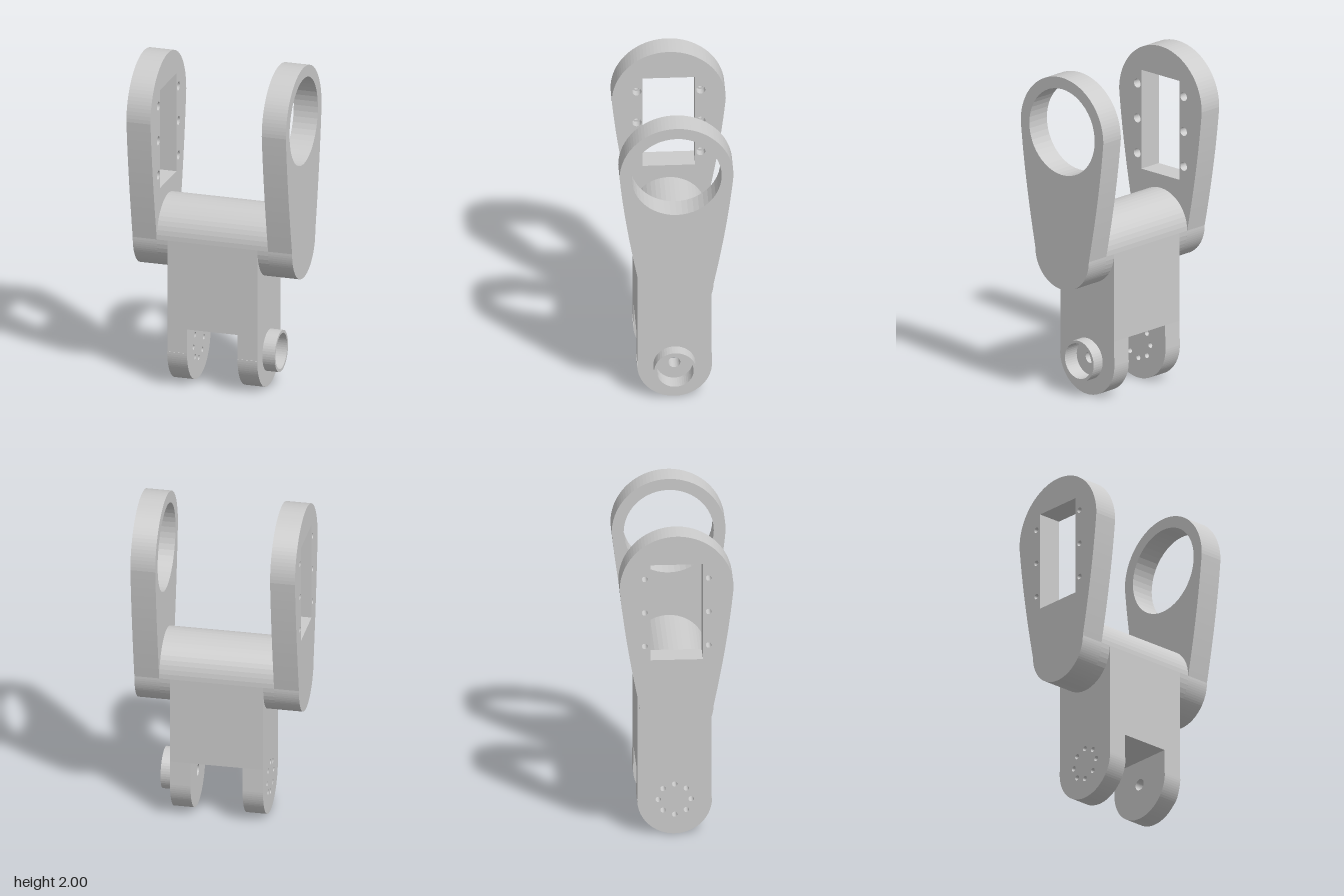
import * as THREE from 'three';

const R = 0.217;        // radius of the bar and of the fork tips
const BAR_Y = 0.91, PIVOT_Y = 0.22, HEAD_Y = 1.665;
const material = new THREE.MeshStandardMaterial({ color: 0xcccccc, flatShading: true });

function addMesh(group, name, geometry) {
  const mesh = new THREE.Mesh(geometry, material);
  mesh.name = name;
  group.add(mesh);
  return mesh;
}

// Extrude a side profile (z, y) across the model from x0 to x1
function slab(shape, x0, x1) {
  const g = new THREE.ExtrudeGeometry(shape, { depth: x1 - x0, bevelEnabled: false, curveSegments: 24 });
  g.rotateY(Math.PI / 2);
  g.translate(x0, 0, 0);
  return g;
}

function circle(x, y, r) {
  return new THREE.Path().absarc(x, y, r, 0, Math.PI * 2, true);
}

// Teardrop outline of the side arms
function armShape(holes) {
  const s = new THREE.Shape();
  s.moveTo(0.335, HEAD_Y);
  s.absarc(0, HEAD_Y, 0.335, 0, Math.PI, false);
  s.quadraticCurveTo(-0.304, 1.33, -R, BAR_Y);
  s.absarc(0, BAR_Y, R, Math.PI, Math.PI * 2, false);
  s.quadraticCurveTo(0.304, 1.33, 0.335, HEAD_Y);
  s.holes.push(...holes);
  return s;
}

// Round-ended outline of the lower fork
function forkShape(holes) {
  const s = new THREE.Shape();
  s.moveTo(R, 0.37);
  s.lineTo(-R, 0.37);
  s.lineTo(-R, PIVOT_Y);
  s.absarc(0, PIVOT_Y, PIVOT_Y, Math.PI, Math.PI * 2, false);
  s.lineTo(R, 0.37);
  s.holes.push(...holes);
  return s;
}

// Rectangular window with three screw holes on each side
function windowHoles(screwRadius) {
  const w = 0.155, y0 = 1.21, y1 = 1.82;
  const holes = [new THREE.Path([[-w, y0], [-w, y1], [w, y1], [w, y0], [-w, y0]]
    .map(([x, y]) => new THREE.Vector2(x, y)))];
  for (const x of [-0.188, 0.188])
    for (const y of [1.3, 1.515, 1.73]) holes.push(circle(x, y, screwRadius));
  return holes;
}

export function createModel() {
  const model = new THREE.Group();
  model.name = 'jointBracket';

  // Left arm with its round bearing opening
  addMesh(model, 'leftArm', slab(armShape([circle(0, HEAD_Y, 0.265)]), 0.344, 0.493));

  // Right arm in two layers, so the screw holes are counterbored on the inside
  const rightArm = new THREE.Group();
  rightArm.name = 'rightArm';
  addMesh(rightArm, 'outerLayer', slab(armShape(windowHoles(0.017)), -0.493, -0.394));
  addMesh(rightArm, 'innerLayer', slab(armShape(windowHoles(0.027)), -0.394, -0.344));
  model.add(rightArm);

  // Round bar joining the arms
  const bar = new THREE.CylinderGeometry(R, R, 0.688, 48, 1, true);
  bar.rotateZ(Math.PI / 2);
  addMesh(model, 'crossBar', bar).position.y = BAR_Y;

  // Solid block between the bar and the fork
  addMesh(model, 'body', new THREE.BoxGeometry(0.557, BAR_Y - 0.37, R * 2))
    .position.y = (BAR_Y + 0.37) / 2;

  // Right prong with a ring of eight screw holes
  const ring = [];
  for (let i = 0; i < 8; i++) {
    const a = i * Math.PI / 4;
    ring.push(circle(0.097 * Math.cos(a), PIVOT_Y + 0.097 * Math.sin(a), 0.016));
  }
  addMesh(model, 'rightProng', slab(forkShape(ring), -0.2785, -0.156));

  // Left prong with a recessed socket and a small through hole
  const leftProng = new THREE.Group();
  leftProng.name = 'leftProng';
  addMesh(leftProng, 'socketFloor', slab(forkShape([circle(0, PIVOT_Y, 0.035)]), 0.156, 0.255));
  addMesh(leftProng, 'socketWall', slab(forkShape([circle(0, PIVOT_Y, 0.108)]), 0.255, 0.2785));
  const collar = new THREE.Shape().absarc(0, PIVOT_Y, 0.125, 0, Math.PI * 2, false);
  collar.holes.push(circle(0, PIVOT_Y, 0.108));
  addMesh(leftProng, 'socketCollar', slab(collar, 0.2785, 0.355));
  model.add(leftProng);

  return model;
}
